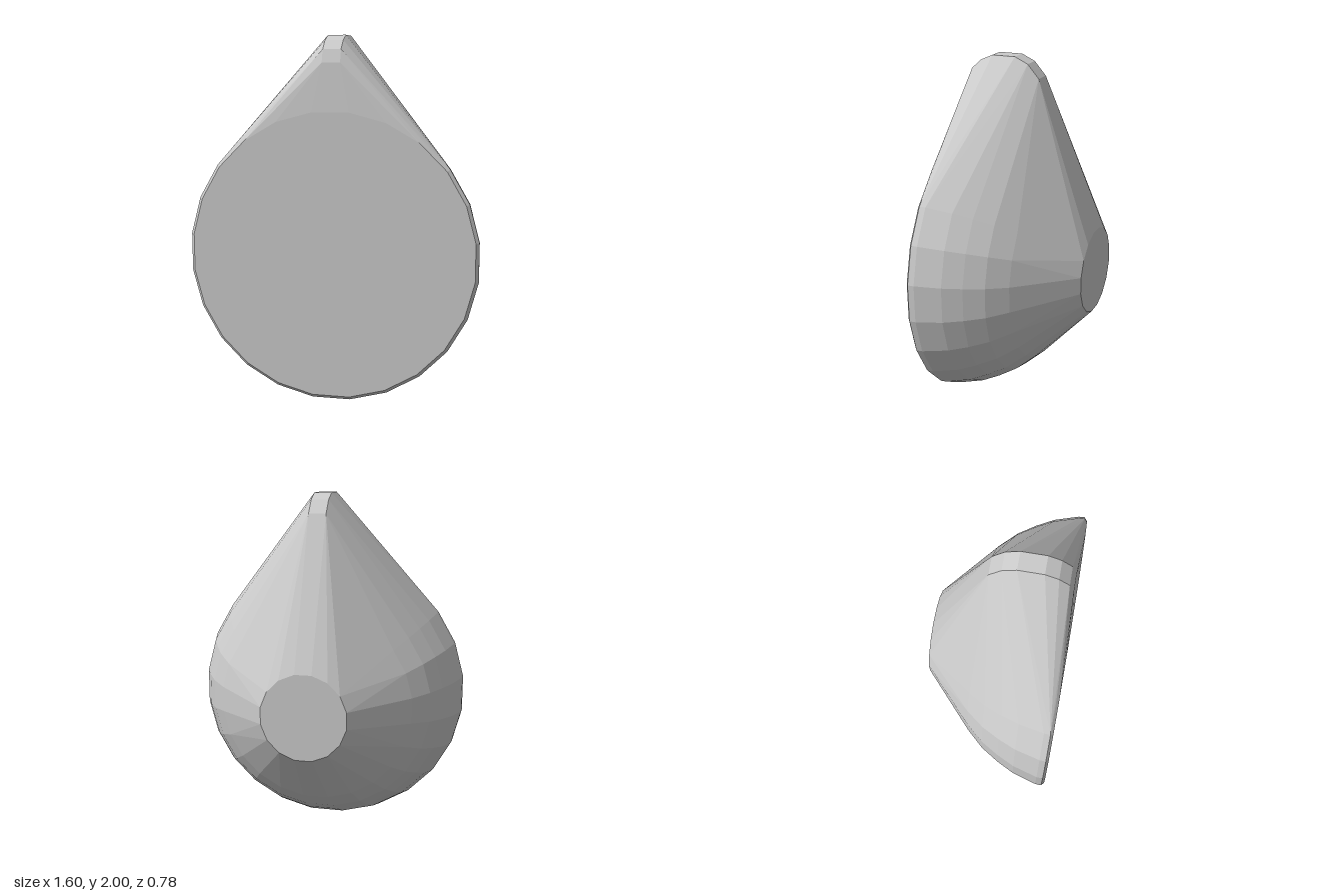
import * as THREE from 'three';
import { ConvexGeometry } from 'three/addons/geometries/ConvexGeometry.js';

const CENTRE_Y = 0.804;

// Ring of points facing z, turned half a step so flats lie at the bottom and sides
function ring(z, radius, sides) {
  return Array.from({ length: sides }, (_, i) => {
    const a = ((i + 0.5) / sides) * Math.PI * 2;
    return new THREE.Vector3(radius * Math.cos(a), CENTRE_Y + radius * Math.sin(a), z);
  });
}

export function createModel() {
  const group = new THREE.Group();
  group.name = 'taperedHold';
  const points = [];

  // Domed body: flat front disc, rounded flank, small flat back disc [z, radius, sides]
  const rings = [
    [0.39, 0.79, 24], [0.375, 0.808, 24], [0.34, 0.806, 24], [0.2, 0.765, 24],
    [0.1, 0.715, 24], [0, 0.653, 24], [-0.1, 0.563, 24], [-0.39, 0.248, 16],
  ];
  for (const [z, radius, sides] of rings) points.push(...ring(z, radius, sides));

  // Narrow rounded ridge at the peak [z, y]
  const ridge = [
    [0.37, 1.85], [0.345, 1.92], [0.29, 1.97], [0.22, 2],
    [0.085, 2], [0.01, 1.965], [-0.055, 1.89],
  ];
  for (const [z, y] of ridge) {
    for (const x of [-0.05, 0.05]) points.push(new THREE.Vector3(x, y, z));
  }

  // Taut faceted skin over body and ridge
  const body = new THREE.Mesh(
    new ConvexGeometry(points),
    new THREE.MeshStandardMaterial({ color: 0xcccccc, flatShading: true })
  );
  body.name = 'body';
  group.add(body);
  return group;
}
